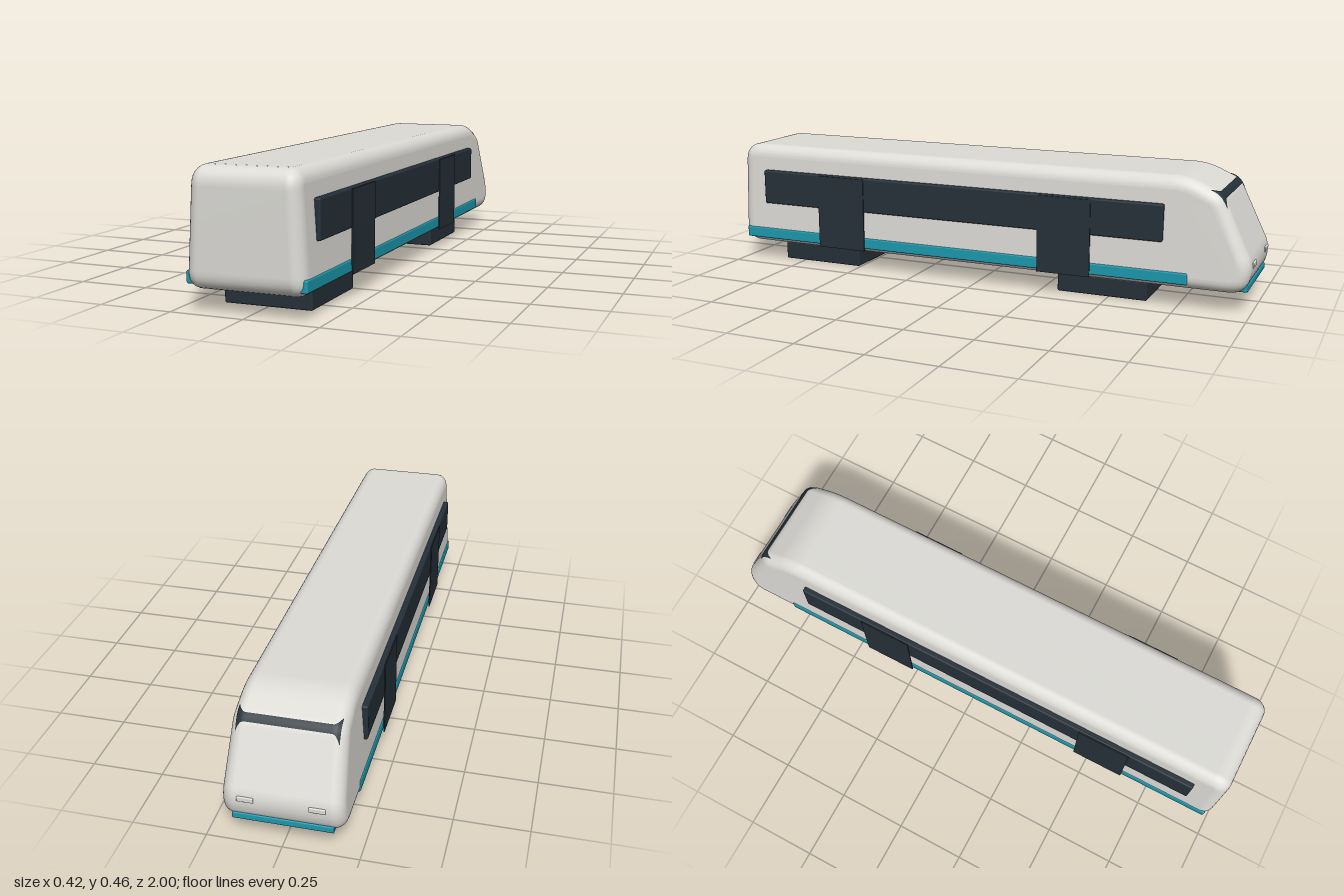
import * as THREE from 'three';
import { mergeVertices } from 'three/addons/utils/BufferGeometryUtils.js';
import { RoundedBoxGeometry } from 'three/addons/geometries/RoundedBoxGeometry.js';

const paint = (name, color) => Object.assign(new THREE.MeshStandardMaterial({ color }), { name });

// Closed outline whose corners [x, y, cut] are rounded over the given cut length
function roundedOutline(corners) {
  const shape = new THREE.Shape();
  const n = corners.length;
  const towards = (a, b, d) => {
    const l = Math.hypot(b[0] - a[0], b[1] - a[1]);
    return [a[0] + (b[0] - a[0]) * d / l, a[1] + (b[1] - a[1]) * d / l];
  };
  corners.forEach((c, i) => {
    const p = towards(c, corners[(i + n - 1) % n], c[2]);
    const q = towards(c, corners[(i + 1) % n], c[2]);
    if (i === 0) shape.moveTo(...p); else shape.lineTo(...p);
    shape.quadraticCurveTo(c[0], c[1], q[0], q[1]);
  });
  shape.closePath();
  return shape;
}

// Side outline extruded across the width, with soft edges and sides leaning in
function bodyGeometry() {
  const bevel = 0.045, width = 0.4;
  const outline = roundedOutline([
    [-1, 0.07, 0.065], [0.985, 0.07, 0.064], [1, 0.17, 0.034],
    [0.89, 0.402, 0.03], [0.77, 0.455, 0.05], [-1, 0.455, 0.065],
  ]);
  const extruded = new THREE.ExtrudeGeometry(outline, {
    depth: width - 2 * bevel, curveSegments: 8, bevelEnabled: true,
    bevelSize: bevel, bevelThickness: bevel, bevelOffset: -bevel, bevelSegments: 8,
  });
  extruded.translate(0, 0, bevel - width / 2).rotateY(Math.PI / 2);
  extruded.deleteAttribute('uv');
  extruded.deleteAttribute('normal');
  extruded.clearGroups();
  const geo = mergeVertices(extruded, 1e-5);
  const p = geo.attributes.position;
  for (let i = 0; i < p.count; i++) {
    p.setX(i, p.getX(i) * (1 - 0.3 * (p.getY(i) - 0.12)));
  }
  geo.computeVertexNormals();
  return geo;
}

// Thin strip draped over the brow of the nose, flaring at both ends
function browGeometry(body) {
  const geo = new THREE.PlaneGeometry(1, 1, 44, 6);
  const p = geo.attributes.position;
  const ray = new THREE.Raycaster();
  const down = new THREE.Vector3(0, -1, 0);
  for (let i = 0; i < p.count; i++) {
    const x = p.getX(i) * 0.33;
    const flare = Math.max(0, (Math.abs(x) - 0.14) / 0.025) ** 2;
    const front = -0.898 - 0.01 * flare, back = -0.878 + 0.03 * flare;
    const z = THREE.MathUtils.lerp(back, front, p.getY(i) + 0.5);
    ray.set(new THREE.Vector3(x, 1, z), down);
    const hit = ray.intersectObject(body)[0];
    p.setXYZ(i, x, (hit ? hit.point.y : 0.4) + 0.004, z);
  }
  geo.computeVertexNormals();
  return geo;
}

export function createModel() {
  const model = new THREE.Group();
  model.name = 'railCar';
  const shell = paint('shellGrey', 0xdddcd7);
  const dark = paint('darkSlate', 0x263139);
  const teal = paint('teal', 0x1c9bb0);
  const darkSheet = paint('browSlate', 0x263139);
  darkSheet.side = THREE.DoubleSide;

  const add = (name, geo, mat) => {
    const mesh = new THREE.Mesh(geo, mat);
    mesh.name = name;
    model.add(mesh);
    return mesh;
  };
  // Softened box given by its limits on each axis
  const block = (name, mat, [x0, x1], [y0, y1], [z0, z1], r = 0.006) => {
    const geo = r > 0
      ? new RoundedBoxGeometry(x1 - x0, y1 - y0, z1 - z0, 2, r)
      : new THREE.BoxGeometry(x1 - x0, y1 - y0, z1 - z0);
    return add(name, geo.translate((x0 + x1) / 2, (y0 + y1) / 2, (z0 + z1) / 2), mat);
  };

  const body = add('body', bodyGeometry(), shell);
  body.updateMatrixWorld();
  add('windscreenBrow', browGeometry(body), darkSheet);

  // Window bands, doors and lower stripes on both sides
  for (const [side, s] of [['left', 1], ['right', -1]]) {
    const span = (a, b) => (s > 0 ? [a, b] : [-b, -a]);
    block(side + 'WindowBand', dark, span(0.17, 0.205), [0.23, 0.36], [-0.7, 0.89]);
    block(side + 'Stripe', teal, span(0.175, 0.203), [0.088, 0.13], [-0.79, 0.98]);
    for (const z of [0.547, -0.348]) {
      block(side + 'Door', dark, span(0.204, 0.208), [0.08, 0.357], [z - 0.098, z + 0.098], 0);
    }
    // Lamp on the nose
    block(side + 'Lamp', shell, span(0.088, 0.142), [0.156, 0.174], [-1, -0.985], 0.003);
  }

  // Stripe under the nose
  block('noseStripe', teal, [-0.165, 0.165], [0.076, 0.1], [-0.987, -0.955], 0.004);

  // Running gear below the floor
  for (const z of [0.67, -0.475]) {
    block('bogie', dark, [-0.152, 0.152], [0, 0.07], [z - 0.165, z + 0.165]);
  }
  return model;
}
